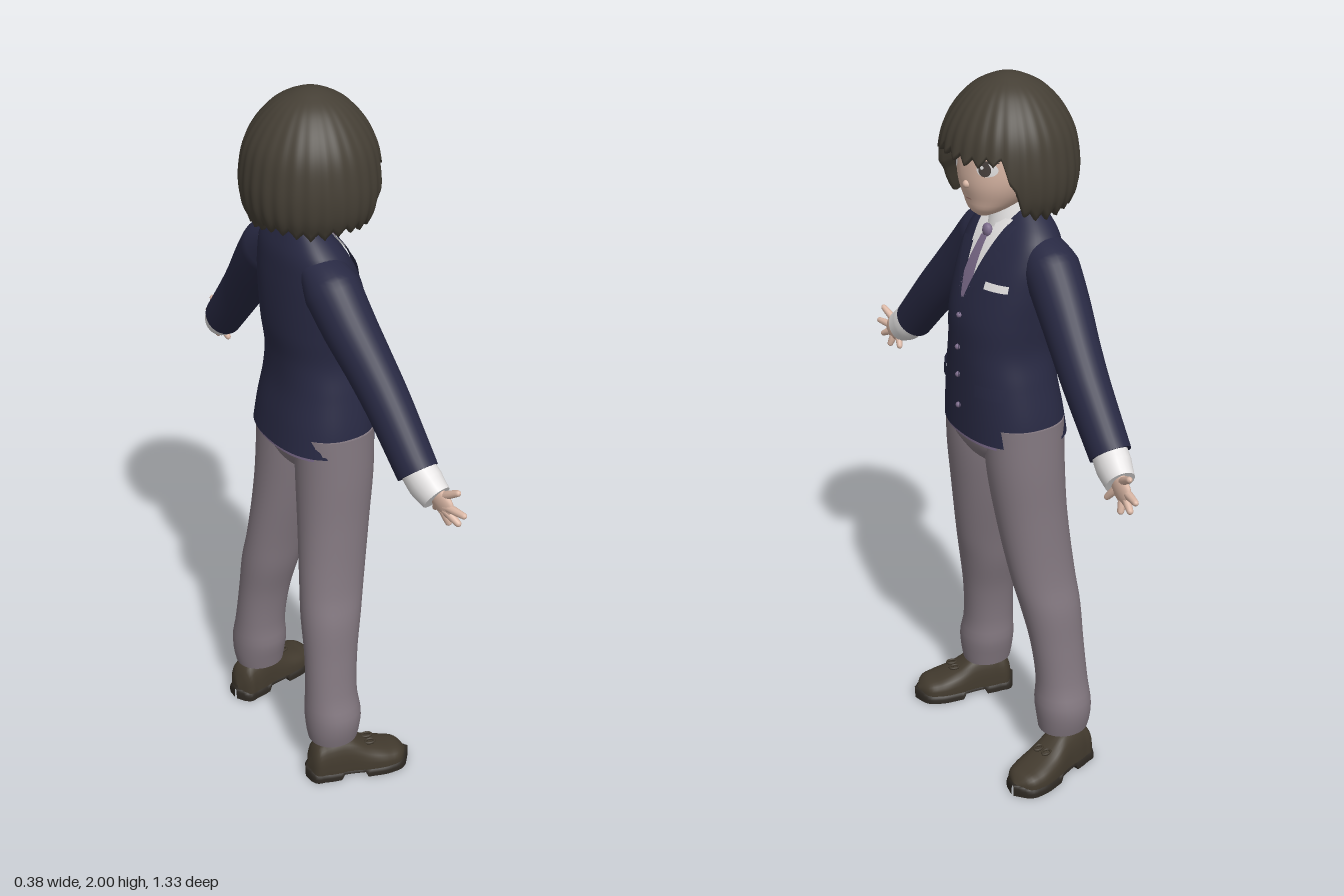
import * as THREE from 'three';

const mat = (name, color, side = THREE.FrontSide) => {
  const m = new THREE.MeshStandardMaterial({ color, side });
  m.name = name;
  return m;
};

// Smooth surface from fn(u, v); u can wrap round, du = +z and dv = +y gives a face towards +x
function grid(nu, nv, fn, wrap = true) {
  const cols = wrap ? nu : nu + 1, pos = [], idx = [];
  for (let j = 0; j <= nv; j++)
    for (let i = 0; i < cols; i++) pos.push(...fn(i / nu, j / nv, j));
  for (let j = 0; j < nv; j++)
    for (let i = 0; i < nu; i++) {
      const k = (i + 1) % cols;
      const a = j * cols + i, b = j * cols + k, c = b + cols, d = a + cols;
      idx.push(a, d, c, a, c, b);
    }
  const g = new THREE.BufferGeometry();
  g.setAttribute('position', new THREE.Float32BufferAttribute(pos, 3));
  g.setIndex(idx);
  g.computeVertexNormals();
  return g;
}

const pw = (v, e) => Math.sign(v) * Math.abs(v) ** e;
const spline = rows => {
  const n = rows[0].length - 1;
  const it = new THREE.CubicInterpolant(rows.map(r => r[0]), rows.flatMap(r => r.slice(1)), n, new Float32Array(n));
  return t => Array.from(it.evaluate(t));
};

// Upright body from rows [y, back x, front x, half width, centre z]
function loft(rows, n = 2.3, nv = 30, nu = 40) {
  const at = spline(rows), y0 = rows[0][0], y1 = rows[rows.length - 1][0];
  const geometry = grid(nu, nv + 4, (u, v, j) => {
    const y = y0 + (y1 - y0) * Math.min(1, Math.max(0, (j - 2) / nv));
    const [xb, xf, w, zc = 0] = at(y), k = j === 0 || j === nv + 4 ? 0 : 1, a = u * Math.PI * 2;
    return [(xb + xf) / 2 + k * (xf - xb) / 2 * pw(Math.cos(a), 2 / n), y, zc + k * w * pw(Math.sin(a), 2 / n)];
  });
  const front = (y, z) => {
    const [xb, xf, w] = at(y);
    return (xb + xf) / 2 + (xf - xb) / 2 * Math.max(0, 1 - Math.abs(z / w) ** n) ** (1 / n);
  };
  return { geometry, front };
}

// Thin plate that follows the front of a loft
const patch = (body, y0, y1, zl, zr, off, nv = 14) => grid(8, nv, (u, v) => {
  const y = y0 + (y1 - y0) * v, z = zl(v) + (zr(v) - zl(v)) * u;
  return [body.front(y, z) + off, y, z];
}, false);

// Limb along points [x, y, z, depth radius, side radius]
function sweep(pts, nv = 16, nu = 20) {
  const curve = new THREE.CatmullRomCurve3(pts.map(p => new THREE.Vector3(p[0], p[1], p[2])));
  return grid(nu, nv + 4, (u, v, j) => {
    const t = Math.min(1, Math.max(0, (j - 2) / nv)), f = t * (pts.length - 1);
    const i = Math.min(pts.length - 2, Math.floor(f)), q = f - i, k = j === 0 || j === nv + 4 ? 0 : 1;
    const r = c => k * (pts[i][c] + (pts[i + 1][c] - pts[i][c]) * q), a = u * Math.PI * 2;
    const T = curve.getTangent(t), e1 = new THREE.Vector3(1, 0, 0).addScaledVector(T, -T.x).normalize();
    const e2 = e1.clone().cross(T);
    return curve.getPoint(t).addScaledVector(e1, Math.cos(a) * r(3)).addScaledVector(e2, Math.sin(a) * r(4)).toArray();
  });
}

export function createModel() {
  const M = {
    hair: mat('hair', 0x453f35), skin: mat('skin', 0xdcb9a7), jacket: mat('jacket navy', 0x282943, THREE.DoubleSide),
    trousers: mat('trouser grey', 0x82777f), shirt: mat('shirt white', 0xe6e4e4, THREE.DoubleSide),
    tie: mat('tie mauve', 0x7d6c8c, THREE.DoubleSide), shoe: mat('shoe brown', 0x423a2e), sole: mat('sole', 0x2d2822),
    eye: mat('eye dark', 0x4a423f, THREE.DoubleSide), lip: mat('lip', 0xb98a80, THREE.DoubleSide),
  };
  const root = new THREE.Group(), body = new THREE.Group(), head = new THREE.Group();
  root.name = 'student'; body.name = 'body'; head.name = 'head';
  body.rotation.y = -0.12;
  root.add(body, head);
  const add = (parent, name, geometry, material) => {
    const m = new THREE.Mesh(geometry, material);
    m.name = name;
    parent.add(m);
    return m;
  };

  // Jacket
  const torso = loft([
    [1.03, -0.135, 0.15, 0.196], [1.10, -0.125, 0.15, 0.188], [1.2, -0.11, 0.15, 0.168], [1.28, -0.11, 0.15, 0.152],
    [1.36, -0.12, 0.146, 0.157], [1.45, -0.122, 0.122, 0.166], [1.53, -0.118, 0.09, 0.168], [1.59, -0.11, 0.055, 0.152],
    [1.63, -0.095, 0.025, 0.11], [1.665, -0.08, 0.0, 0.06]], 2.3, 48, 56);
  add(body, 'jacket', torso.geometry, M.jacket);
  add(body, 'jacketLining', loft([[1.02, -0.131, 0.146, 0.192], [1.04, -0.131, 0.146, 0.192]], 2.3, 1).geometry, M.tie);
  add(body, 'frontEdge', patch(torso, 1.035, 1.42, t => -0.012 + 0.01 * t, t => -0.008 + 0.01 * t, 0.005), M.jacket);
  [1.11, 1.2, 1.28, 1.37].forEach(y => {
    const b = add(body, 'button', new THREE.SphereGeometry(0.008, 10, 8), M.tie);
    b.position.set(torso.front(y, 0) + 0.002, y, 0.004);
  });
  add(body, 'breastPocket', patch(torso, 1.462, 1.482, () => -0.135, () => -0.07, 0.006, 3), M.shirt);

  // Shirt front, collar, tie
  add(body, 'shirtFront', patch(torso, 1.41, 1.63, t => -0.062 * t, t => 0.062 * t, 0.004), M.shirt);
  add(body, 'collar', loft([[1.6, -0.088, 0.052, 0.068], [1.635, -0.082, 0.044, 0.064], [1.67, -0.075, 0.034, 0.06]], 2, 8).geometry, M.shirt);
  add(body, 'tie', patch(torso, 1.42, 1.58, t => -(t < 0.15 ? 0.18 * t : 0.03 - 0.017 * t), t => t < 0.15 ? 0.18 * t : 0.03 - 0.017 * t, 0.009), M.tie);
  const knot = add(body, 'tieKnot', new THREE.SphereGeometry(0.018, 12, 8), M.tie);
  knot.position.set(torso.front(1.59, 0) + 0.006, 1.59, 0);
  knot.scale.set(0.7, 1.1, 1);

  // Pelvis
  add(body, 'pelvis', loft([[0.955, -0.085, 0.105, 0.12], [0.99, -0.1, 0.125, 0.185], [1.08, -0.105, 0.125, 0.188]], 2.3, 8).geometry, M.trousers);

  for (const s of [1, -1]) {
    const side = s > 0 ? 'far' : 'near';
    const lr = (a, b) => s > 0 ? [a, b] : [t => -b(t), t => -a(t)];

    // Lapel, collar point and pocket flap
    add(body, 'lapel', patch(torso, 1.4, 1.62, ...lr(t => 0.06 * t, t => 0.06 * t + (t < 0.72 ? 0.075 * t : t < 0.78 ? 0.025 : 0.045 * (1.6 - t))), 0.009, 30), M.jacket);
    add(body, 'collarPoint', patch(torso, 1.555, 1.63, ...lr(t => 0.036 - 0.024 * t, t => 0.04 + 0.024 * t), 0.009), M.shirt);
    add(body, 'pocketFlap', patch(torso, 1.165, 1.2, ...lr(() => 0.075, () => 0.15), 0.007, 4), M.jacket);

    // Sleeve, cuff and hand
    add(body, 'sleeve', sweep([
      [-0.035, 1.56, s * 0.105, 0.06, 0.05], [-0.033, 1.515, s * 0.16, 0.074, 0.078], [-0.025, 1.44, s * 0.23, 0.07, 0.074],
      [-0.012, 1.36, s * 0.305, 0.064, 0.068], [-0.002, 1.285, s * 0.375, 0.06, 0.064], [0.008, 1.145, s * 0.503, 0.054, 0.058]], 30, 28), M.jacket);
    add(body, 'cuff', sweep([
      [0.008, 1.16, s * 0.49, 0.045, 0.05], [0.015, 1.125, s * 0.53, 0.045, 0.053], [0.022, 1.1, s * 0.568, 0.038, 0.045]], 8), M.shirt);
    const hand = new THREE.Group();
    hand.name = side + 'Hand';
    body.add(hand);
    add(hand, 'palm', sweep([
      [0.022, 1.115, s * 0.55, 0.018, 0.024], [0.028, 1.098, s * 0.575, 0.016, 0.034], [0.031, 1.082, s * 0.6, 0.013, 0.034],
      [0.033, 1.072, s * 0.615, 0.008, 0.02]], 10), M.skin);
    [[1.116, 0.59, 1.145, 0.638], [1.09, 0.61, 1.09, 0.668], [1.075, 0.605, 1.052, 0.645],
      [1.066, 0.592, 1.03, 0.6], [1.085, 0.565, 1.045, 0.535]].forEach(([y0, z0, y1, z1]) => {
      const p = (t, r) => [0.03 + 0.012 * t, y0 + (y1 - y0) * t, s * (z0 + (z1 - z0) * t), r, r];
      add(hand, 'finger', sweep([p(-0.2, 0.011), p(0.3, 0.011), p(0.65, 0.0095), p(0.92, 0.008), p(1, 0.003)], 10, 10), M.skin);
    });

    // Trouser leg
    add(body, 'trouserLeg', loft([
      [0.125, -0.128, 0.015, 0.066, s * 0.212], [0.16, -0.134, 0.02, 0.074, s * 0.213], [0.21, -0.136, 0.024, 0.08, s * 0.21],
      [0.27, -0.132, 0.018, 0.07, s * 0.203], [0.4, -0.126, 0.028, 0.067, s * 0.187], [0.52, -0.124, 0.05, 0.076, s * 0.166],
      [0.6, -0.118, 0.068, 0.075, s * 0.15], [0.8, -0.104, 0.1, 0.088, s * 0.12], [0.95, -0.1, 0.118, 0.098, s * 0.106],
      [1.08, -0.1, 0.122, 0.098, s * 0.1]], 2.1, 40, 32).geometry, M.trousers);

    // Shoe
    const shoe = new THREE.Group();
    shoe.name = side + 'Shoe';
    shoe.position.set(0.005, 0, s * 0.245);
    shoe.rotation.y = -0.25 * s;
    body.add(shoe);
    const cut = spline([
      [-0.148, 0.004, 0.045], [-0.138, 0.034, 0.085], [-0.1, 0.048, 0.12], [-0.03, 0.052, 0.125], [0.03, 0.06, 0.088],
      [0.09, 0.06, 0.066], [0.13, 0.042, 0.054], [0.15, 0.004, 0.032]]);
    const along = (low, high, grow) => grid(28, 36, (u, v) => {
      const x = -0.148 + 0.298 * v, [w, h] = cut(x), a = u * Math.PI * 2, c = Math.cos(a);
      return [x * grow, c > 0 ? low(x) + (high(x, h) - low(x)) * c ** 0.7 : low(x), -w * grow * pw(Math.sin(a), 0.75)];
    });
    add(shoe, 'shoeUpper', along(() => 0.024, (x, h) => h, 1), M.shoe);
    add(shoe, 'shoeSole', along(x => x > -0.055 && x < 0.015 ? 0.018 : 0, () => 0.034, 1.05), M.sole);
    for (const k of [1, -1]) {
      const bow = add(shoe, 'laceBow', new THREE.TorusGeometry(0.014, 0.004, 6, 14), M.shoe);
      bow.position.set(0.035, 0.092, k * 0.015);
      bow.rotation.x = Math.PI / 2;
      bow.scale.y = 0.7;
    }
  }

  // Neck and face
  add(head, 'neck', new THREE.CylinderGeometry(0.045, 0.048, 0.13, 24), M.skin).position.set(-0.015, 1.665, 0);
  const face = loft([
    [1.642, 0.055, 0.095, 0.018], [1.655, 0.02, 0.111, 0.042], [1.69, -0.055, 0.123, 0.077], [1.73, -0.09, 0.133, 0.098],
    [1.78, -0.1, 0.135, 0.107], [1.86, -0.1, 0.13, 0.105]], 2.2, 24, 40);
  add(head, 'face', face.geometry, M.skin);
  const nose = add(head, 'nose', new THREE.SphereGeometry(0.011, 10, 8), M.skin);
  nose.position.set(0.132, 1.733, 0);
  const oval = (name, z, y, w, h, off, m) => {
    const half = t => w * Math.sqrt(Math.max(0, 1 - (2 * t - 1) ** 2));
    add(head, name, patch(face, y - h, y + h, t => z - half(t), t => z + half(t), off), m);
  };
  for (const s of [1, -1]) {
    oval('eyeWhite', s * 0.062, 1.783, 0.023, 0.02, 0.002, M.shirt);
    oval('iris', s * 0.06, 1.783, 0.014, 0.019, 0.004, M.eye);
    oval('eyeGlint', s * 0.06 + 0.004, 1.789, 0.004, 0.005, 0.006, M.shirt);
    oval('lashLine', s * 0.063, 1.803, 0.026, 0.004, 0.006, M.eye);
  }
  oval('mouth', 0, 1.694, 0.012, 0.002, 0.003, M.lip);

  // Bobbed hair: underside, jagged hem, then the dome
  const radius = spline([[1.66, 0.158], [1.7, 0.177], [1.75, 0.185], [1.8, 0.183], [1.86, 0.171], [1.9, 0.152], [1.94, 0.122], [1.97, 0.088], [1.99, 0.05]]);
  add(head, 'hair', grid(168, 36, (u, v, j) => {
    const a = u * Math.PI * 2, phi = Math.min(a, Math.PI * 2 - a);
    const tooth = Math.abs(((u * 28) % 1) - 0.5) * 2;
    const hem = 1.826 - 0.146 * THREE.MathUtils.smoothstep(phi, 0.72, 1.2) - 0.022 * tooth + 0.006 * Math.sin(a * 5);
    if (j < 2) return [Math.cos(a) * (0.06 + 0.05 * j), hem + 0.04 - 0.01 * j, Math.sin(a) * (0.06 + 0.05 * j)];
    const k = Math.max(0, (j - 3) / 33), y = hem + (2 - hem) * Math.sin(k * Math.PI / 2);
    let r = y > 1.985 ? 0.058 * Math.sqrt(Math.max(0, (2 - y) / 0.015)) : radius(y)[0];
    r *= (1 + 0.012 * (1 - k) * Math.cos(a * 28)) * (j === 2 ? 0.93 : 1);
    return [Math.cos(a) * r * (Math.cos(a) > 0 ? 0.95 : 0.99), y, Math.sin(a) * r];
  }), M.hair);
  return root;
}
